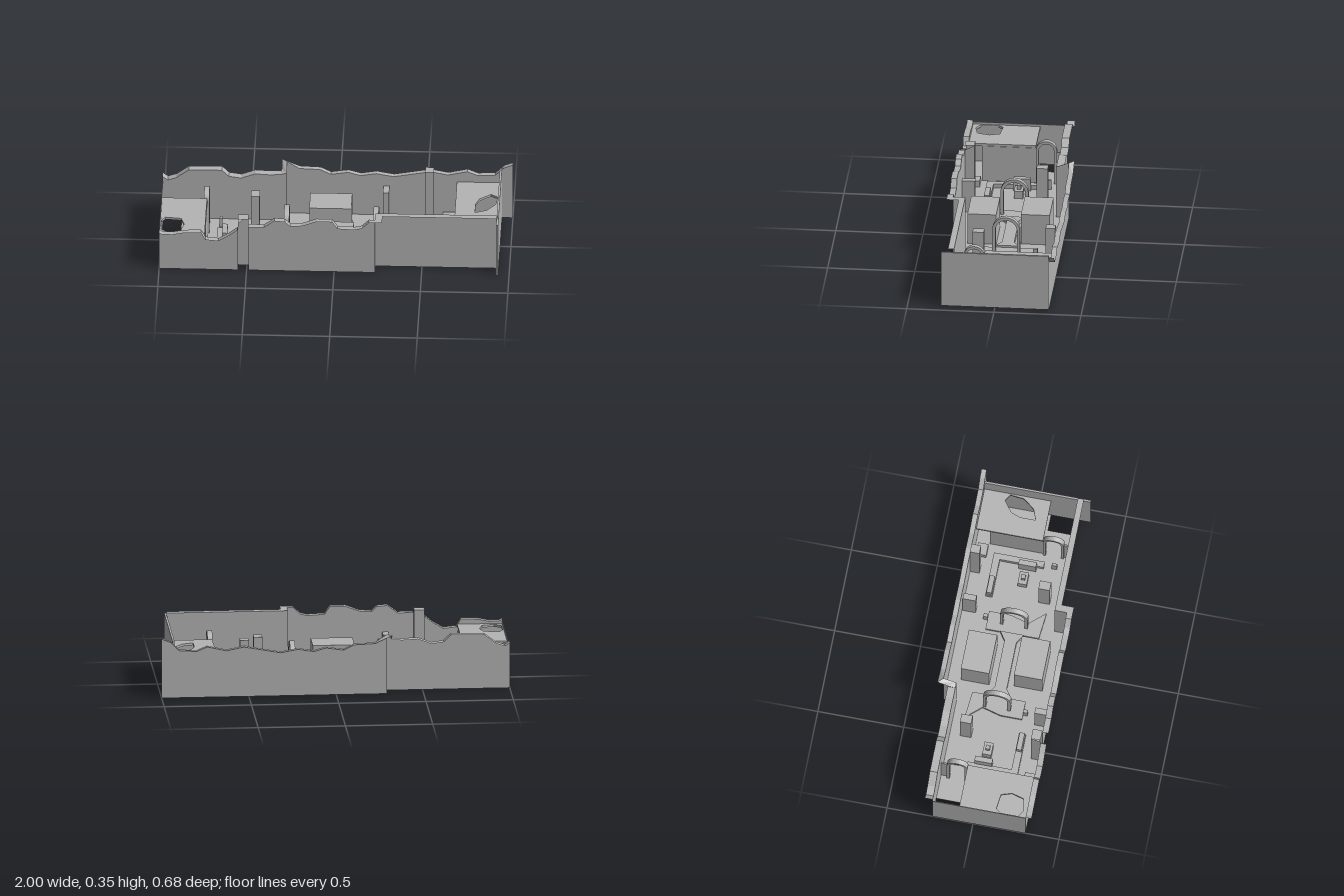
import * as THREE from 'three';

export function createModel() {
  const root = new THREE.Group();
  root.name = 'ruinedCourtyard';
  const stone = new THREE.MeshStandardMaterial({ color: 0xb4b4b4, side: THREE.DoubleSide, flatShading: true });
  stone.name = 'grey stone';

  const add = (name, geo, parent = root) => {
    const m = new THREE.Mesh(geo, stone);
    m.name = name;
    parent.add(m);
    return m;
  };

  // Box given by its extents
  const box = (name, x0, x1, y0, y1, z0, z1, parent) => {
    const g = new THREE.BoxGeometry(x1 - x0, y1 - y0, z1 - z0);
    g.translate((x0 + x1) / 2, (y0 + y1) / 2, (z0 + z1) / 2);
    return add(name, g, parent);
  };

  // Flat slab from an [x, z] outline, with an optional hole
  const slab = (name, pts, y0, y1, hole, parent) => {
    const v = (list) => list.map(([x, z]) => new THREE.Vector2(x, -z));
    const s = new THREE.Shape(v(pts));
    if (hole) s.holes.push(new THREE.Path(v(hole)));
    const g = new THREE.ExtrudeGeometry(s, { depth: y1 - y0, bevelEnabled: false });
    g.rotateX(-Math.PI / 2).translate(0, y0, 0);
    return add(name, g, parent);
  };

  // Thin wall with a broken top and a ledge reaching outward.
  // Rows: [x, z, height, ledgeX, ledgeZ]
  const wall = (name, rows) => {
    const pos = [];
    const quad = (a, b, c, d) => pos.push(...a, ...b, ...c, ...a, ...c, ...d);
    for (let i = 0; i + 1 < rows.length; i++) {
      const [x0, z0, h0, lx0 = 0, lz0 = 0] = rows[i];
      const [x1, z1, h1, lx1 = 0, lz1 = 0] = rows[i + 1];
      quad([x0, 0, z0], [x1, 0, z1], [x1, h1, z1], [x0, h0, z0]);
      if (lx0 || lz0 || lx1 || lz1) {
        quad([x0, h0, z0], [x1, h1, z1], [x1 + lx1, h1, z1 + lz1], [x0 + lx0, h0, z0 + lz0]);
      }
    }
    const g = new THREE.BufferGeometry();
    g.setAttribute('position', new THREE.Float32BufferAttribute(pos, 3));
    g.computeVertexNormals();
    return add(name, g);
  };
  const run = (z, lz, list) => list.map(([x, h]) => [x, z, h, 0, lz]);

  // Round-headed arch standing across x
  const arch = (name, x, z, r, top, thick, depth, parent) => {
    const s = new THREE.Shape();
    s.moveTo(-r, 0);
    s.lineTo(-r, top - r);
    s.absarc(0, top - r, r, Math.PI, 0, true);
    s.lineTo(r, 0);
    s.lineTo(r - thick, 0);
    s.lineTo(r - thick, top - r);
    s.absarc(0, top - r, r - thick, 0, Math.PI, false);
    s.lineTo(-r + thick, 0);
    const g = new THREE.ExtrudeGeometry(s, { depth, bevelEnabled: false, curveSegments: 8 });
    g.translate(0, 0, -depth / 2).rotateY(Math.PI / 2).translate(x, 0, z);
    return add(name, g, parent);
  };

  // Floor, with open corners at both ends and a notch at the recess
  slab('floor', [
    [-1, 0.305], [-0.55, 0.305], [-0.55, 0.25], [-0.49, 0.25], [-0.49, 0.305], [0.235, 0.305],
    [0.235, 0.235], [0.83, 0.235], [0.83, 0.08], [0.93, 0.08], [0.93, -0.31], [-0.29, -0.31],
    [-0.29, -0.235], [-0.89, -0.235], [-0.89, -0.08], [-1, -0.08],
  ], 0, 0.004);

  // Front wall in two stretches, stepping inward
  wall('frontWallRightPart', run(0.305, 0.035, [
    [-1, 0.26], [-0.98, 0.25], [-0.92, 0.25], [-0.86, 0.263], [-0.76, 0.267], [-0.735, 0.22],
    [-0.66, 0.213], [-0.6, 0.25], [-0.55, 0.29],
  ]));
  wall('frontWallLeftPart', [
    ...run(0.305, 0.035, [
      [-0.49, 0.31], [-0.4, 0.31], [-0.34, 0.355], [-0.28, 0.35], [-0.25, 0.32], [-0.18, 0.325],
      [-0.1, 0.355], [-0.01, 0.355], [0.02, 0.31], [0.12, 0.305], [0.16, 0.315], [0.2, 0.355],
    ]),
    [0.235, 0.305, 0.355, 0.04, 0.035], [0.235, 0.235, 0.355, 0.04, 0.035],
    [0.275, 0.235, 0.355, 0, 0.035], [0.93, 0.235, 0.355, 0, 0.035],
  ]);

  // Recessed pillar in the front wall with a sloping cap
  wall('recessPillar', [
    [-0.55, 0.305, 0.31], [-0.55, 0.25, 0.34, 0.06, 0], [-0.55, 0.25, 0.34],
    [-0.49, 0.25, 0.34], [-0.49, 0.305, 0.31],
  ]);
  wall('recessCap', [[-0.55, 0.25, 0.34, 0, 0.055], [-0.49, 0.25, 0.34, 0, 0.055]]);

  // Back wall, stepping outward
  wall('backWall', [
    ...run(-0.235, -0.045, [
      [-1, 0.28], [-0.97, 0.258], [-0.92, 0.275], [-0.85, 0.328], [-0.66, 0.33], [-0.62, 0.29],
      [-0.55, 0.28], [-0.47, 0.31], [-0.38, 0.305], [-0.32, 0.31],
    ]),
    [-0.29, -0.235, 0.32, -0.03, -0.045], [-0.29, -0.31, 0.35, -0.03, -0.03],
    ...run(-0.31, -0.03, [
      [-0.22, 0.305], [-0.1, 0.3], [-0.04, 0.27], [0.06, 0.285], [0.13, 0.265], [0.22, 0.28],
      [0.32, 0.262], [0.42, 0.28], [0.53, 0.3], [0.63, 0.28], [0.74, 0.305], [0.8, 0.28],
      [0.9, 0.285], [0.95, 0.335], [1, 0.355],
    ]),
  ]);

  // End walls
  box('leftEndWall', 0.926, 0.938, 0, 0.336, -0.308, 0.31);
  box('rightEndWall', -1, -0.996, 0, 0.25, -0.235, 0.305);

  // Raised end platforms with a broken hole, and the walls below them
  slab('rightPlatform', [[-0.996, 0.305], [-0.74, 0.305], [-0.74, -0.08], [-0.996, -0.08]], 0.222, 0.236,
    [[-0.99, 0.16], [-0.97, 0.13], [-0.88, 0.14], [-0.86, 0.2], [-0.88, 0.27], [-0.95, 0.285], [-0.99, 0.26]]);
  slab('leftPlatform', [[0.68, 0.08], [0.925, 0.08], [0.925, -0.308], [0.68, -0.308]], 0.222, 0.236,
    [[0.795, -0.075], [0.815, -0.13], [0.88, -0.18], [0.918, -0.155], [0.91, -0.075], [0.86, -0.01], [0.795, 0.015]]);

  // Tall pier against the back wall
  box('tallPier', 0.5, 0.55, 0, 0.33, -0.31, -0.255);

  // Courtyard furniture, repeated by a half turn about the centre
  for (const side of ['right', 'left']) {
    const half = new THREE.Group();
    half.name = side + 'Courtyard';
    if (side === 'left') {
      half.rotation.y = Math.PI;
      half.position.x = -0.05;
    }
    root.add(half);

    // Large block, tall crate and wall pier
    box('largeBlock', -0.155, 0.085, 0, 0.19, -0.235, -0.07, half);
    box('tallCrate', -0.49, -0.44, 0, 0.235, -0.175, -0.11, half);
    box('wallPier', -0.345, -0.31, 0, 0.2, 0.23, 0.305, half);

    // Arches: one in the yard, one doorway beside the platform
    arch('yardArch', -0.28, 0, 0.08, 0.24, 0.018, 0.03, half);
    arch('doorArch', -0.742, -0.14, 0.06, 0.27, 0.016, 0.03, half);
    box('platformWall', -0.745, -0.737, 0, 0.222, -0.08, 0.23, half);
    box('doorSideWall', -0.745, -0.737, 0, 0.2, -0.235, -0.2, half);

    // Pedestal with a small square post
    box('pedestal', -0.59, -0.515, 0, 0.05, -0.026, 0.026, half);
    box('pedestalPost', -0.565, -0.54, 0.05, 0.075, -0.012, 0.012, half);

    // Low L-shaped kerb, loose stones and apron around the arch
    slab('kerb', [[-0.68, -0.1], [-0.645, -0.1], [-0.645, 0.155], [-0.42, 0.155], [-0.42, 0.195], [-0.68, 0.195]],
      0, 0.03, null, half);
    box('lowBench', -0.53, -0.425, 0, 0.06, 0.16, 0.19, half);
    box('looseStone', -0.67, -0.655, 0, 0.06, -0.175, -0.145, half);
    box('looseStone', -0.65, -0.62, 0, 0.08, -0.1, 0.07, half).scale.set(1, 1, 0.6);
    box('looseStone', -0.3, -0.28, 0, 0.05, 0.155, 0.18, half);
    box('rubble', -0.72, -0.65, 0, 0.04, 0.235, 0.295, half);
    slab('apron', [[-0.38, -0.17], [-0.22, -0.155], [-0.22, 0.155], [-0.33, 0.155], [-0.33, 0.03], [-0.3, -0.08]],
      0, 0.018, null, half);
  }

  // Narrow causeway joining the arches
  slab('causeway', [
    [-0.22, -0.07], [-0.17, -0.035], [0.12, -0.035], [0.17, -0.07],
    [0.17, 0.07], [0.12, 0.035], [-0.17, 0.035], [-0.22, 0.07],
  ], 0, 0.03);

  return root;
}
